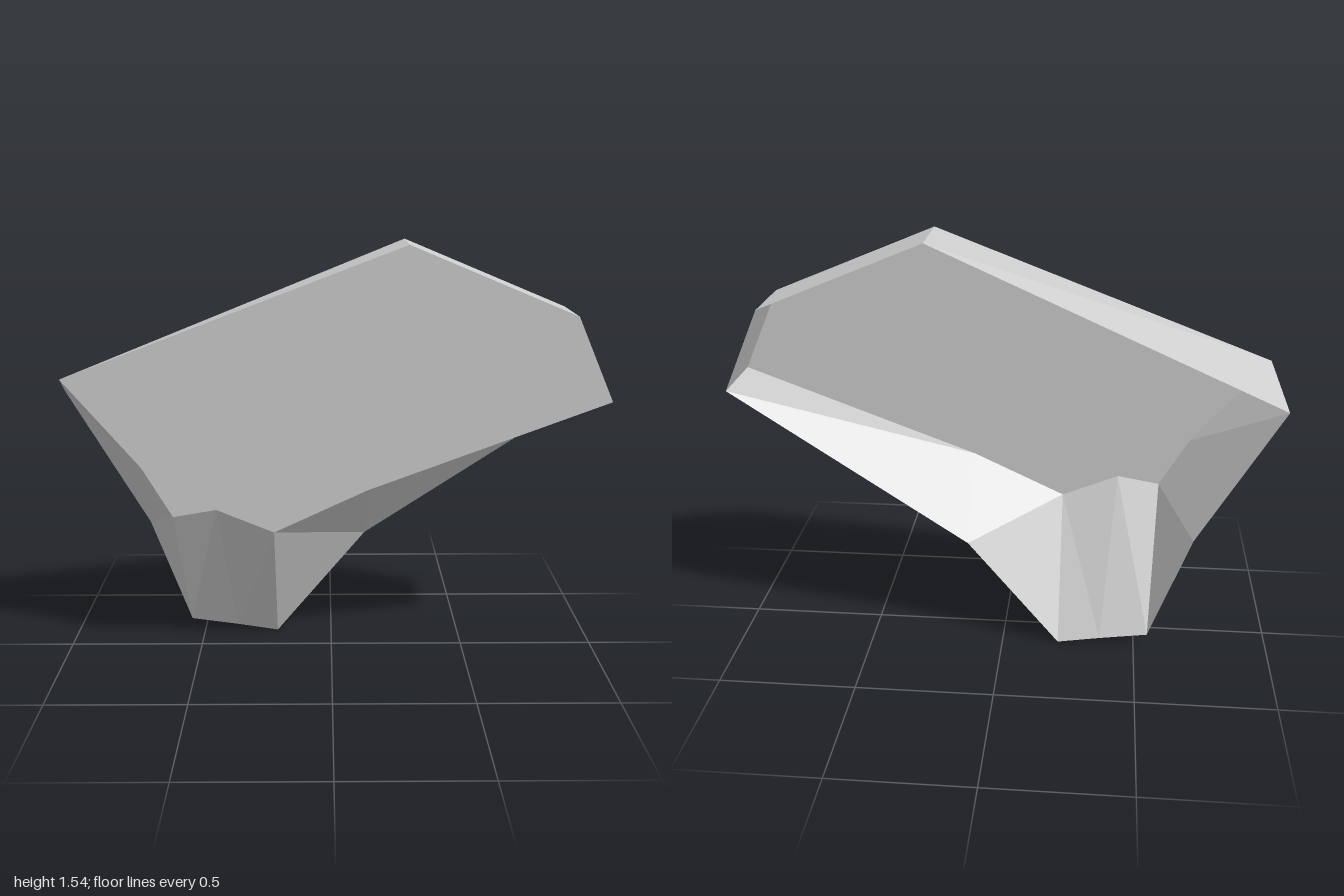
import * as THREE from 'three';

const DEPTH = 0.133;

// Outlines, counter-clockwise seen from the front, starting at the left-hand tip
const FRONT = [[-0.96, 1.07], [-0.685, 0.745], [-0.577, 0.56], [-0.42, 0.587], [-0.21, 0.5],
  [0.13, 0.66], [1, 0.985], [0.865, 1.29], [0.268, 1.538]];
const BACK = [[-1, 0.97], [-0.7, 0.455], [-0.55, 0.05], [-0.37, 0.025], [-0.212, 0],
  [0.13, 0.41], [1, 0.985], [0.865, 1.29], [0.268, 1.538]];

// Order in which the wall triangles advance along the front (f) or back (b) outline
const STEPS = 'fbfbfbfbbfbfbfbffb';

// Zip the two outlines together with a strip of triangles
function wallGeometry() {
  const front = (i) => [...FRONT[i % FRONT.length], DEPTH];
  const back = (i) => [...BACK[i % BACK.length], -DEPTH];
  const positions = [];
  let f = 0, b = 0;
  for (const step of STEPS) {
    positions.push(...front(f), ...back(b));
    positions.push(...(step === 'f' ? front(++f) : back(++b)));
  }
  const geometry = new THREE.BufferGeometry();
  geometry.setAttribute('position', new THREE.Float32BufferAttribute(positions, 3));
  geometry.computeVertexNormals();
  return geometry;
}

export function createModel() {
  const stone = new THREE.MeshStandardMaterial({ color: 0xcccccc, side: THREE.DoubleSide, flatShading: true });
  stone.name = 'light grey';
  const group = new THREE.Group();
  group.name = 'slab';

  // Flat front face
  const shape = new THREE.Shape(FRONT.map(([x, y]) => new THREE.Vector2(x, y)));
  const face = new THREE.Mesh(new THREE.ShapeGeometry(shape), stone);
  face.name = 'frontFace';
  face.position.z = DEPTH;

  // Faceted rim, open at the back
  const rim = new THREE.Mesh(wallGeometry(), stone);
  rim.name = 'rim';

  group.add(face, rim);
  return group;
}
